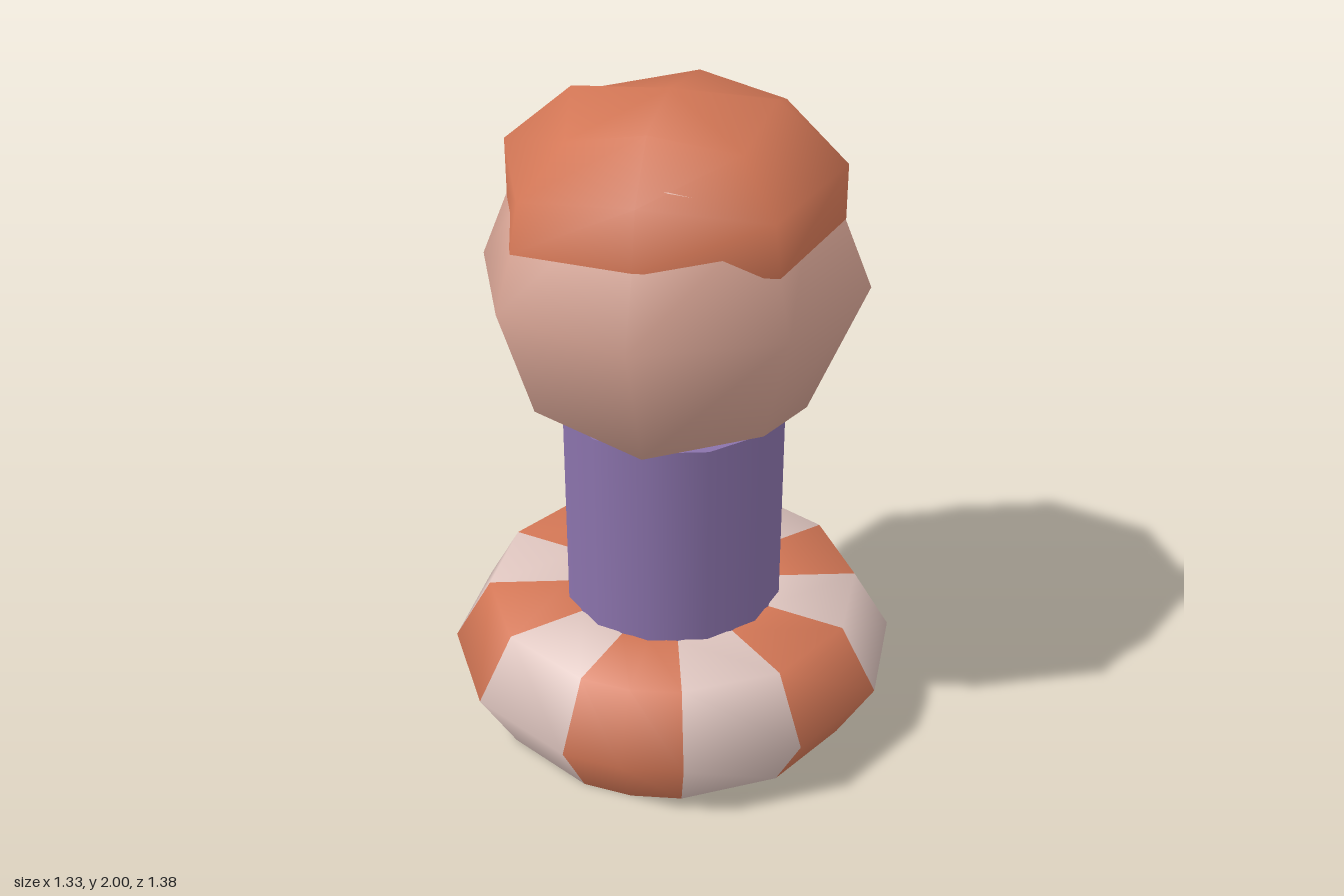
import * as THREE from 'three';
import { mergeVertices } from 'three/addons/utils/BufferGeometryUtils.js';

const material = (name, color) => {
  const m = new THREE.MeshStandardMaterial({ color, side: THREE.DoubleSide });
  m.name = name;
  return m;
};

function addMesh(parent, name, geometry, mat) {
  const mesh = new THREE.Mesh(geometry, mat);
  mesh.name = name;
  parent.add(mesh);
  return mesh;
}

// Sphere made by rounding a cube with two segments per side
function cubeSphere(radius) {
  let g = new THREE.BoxGeometry(1, 1, 1, 2, 2, 2);
  g.deleteAttribute('normal');
  g.deleteAttribute('uv');
  g = mergeVertices(g);
  const p = g.attributes.position;
  const v = new THREE.Vector3();
  for (let i = 0; i < p.count; i++) {
    v.fromBufferAttribute(p, i).normalize().multiplyScalar(radius);
    p.setXYZ(i, v.x, v.y, v.z);
  }
  g.computeVertexNormals();
  // Sink the crown so that it stays under the cap
  for (let i = 0; i < p.count; i++) if (p.getY(i) > radius * 0.9) p.setY(i, radius * 0.78);
  return g;
}

// Eight-sided dome from rings of front, diagonal, side and back points, closed by an apex
function dome(rings, apex) {
  const pos = [];
  const idx = [];
  for (const { front, frontDiag, side, backDiag, back } of rings) {
    const [fz, fy] = front, [fd, fdy] = frontDiag, [sx, sy] = side;
    const [bd, bdy] = backDiag, [bz, by] = back;
    pos.push(0, fy, fz, fd, fdy, fd, sx, sy, 0, bd, bdy, -bd,
      0, by, -bz, -bd, bdy, -bd, -sx, sy, 0, -fd, fdy, fd);
  }
  pos.push(...apex);
  const top = rings.length * 8;
  for (let r = 0; r < rings.length; r++) {
    for (let i = 0; i < 8; i++) {
      const a = r * 8 + i, b = r * 8 + (i + 1) % 8;
      if (r === rings.length - 1) idx.push(a, b, top);
      else idx.push(a, b, b + 8, a, b + 8, a + 8);
    }
  }
  const g = new THREE.BufferGeometry();
  g.setAttribute('position', new THREE.Float32BufferAttribute(pos, 3));
  g.setIndex(idx);
  g.computeVertexNormals();
  return g;
}

export function createModel() {
  const model = new THREE.Group();
  model.name = 'figure';
  const orange = material('orange', 0xd27655);
  const skin = material('skin', 0xdca898);
  const purple = material('purple', 0x8b73ac);
  const pale = material('pale', 0xdcc3bd);

  // Striped ring, open underneath; front and back stripes have a middle edge
  const ring = new THREE.Group();
  ring.name = 'stripedRing';
  model.add(ring);
  const profile = [[0.575, 0], [0.69, 0.2], [0.575, 0.395], [0.33, 0.395]]
    .map(([x, y]) => new THREE.Vector2(x, y));
  const step = Math.PI / 6;
  for (let i = 0; i < 12; i++) {
    const g = new THREE.LatheGeometry(profile, i % 6 === 0 ? 2 : 1, (i - 0.5) * step, step);
    addMesh(ring, 'ringStripe', g, i % 2 ? pale : orange);
  }

  // Body
  const body = addMesh(model, 'body', new THREE.CylinderGeometry(0.337, 0.337, 0.96, 12), purple);
  body.position.y = 0.56;

  // Head
  const head = addMesh(model, 'head', cubeSphere(0.565), skin);
  head.position.y = 1.455;

  // Cap of hair, leaning slightly to the back
  const hair = dome([
    { front: [0.485, 1.652], frontDiag: [0.364, 1.62], side: [0.485, 1.652], backDiag: [0.364, 1.62], back: [0.485, 1.652] },
    { front: [0.445, 1.81], frontDiag: [0.345, 1.76], side: [0.485, 1.81], backDiag: [0.36, 1.76], back: [0.47, 1.78] },
    { front: [0.31, 1.96], frontDiag: [0.24, 1.9], side: [0.285, 1.975], backDiag: [0.27, 1.89], back: [0.36, 1.93] },
  ], [0, 2, 0.04]);
  addMesh(model, 'hairCap', hair, orange);

  return model;
}
